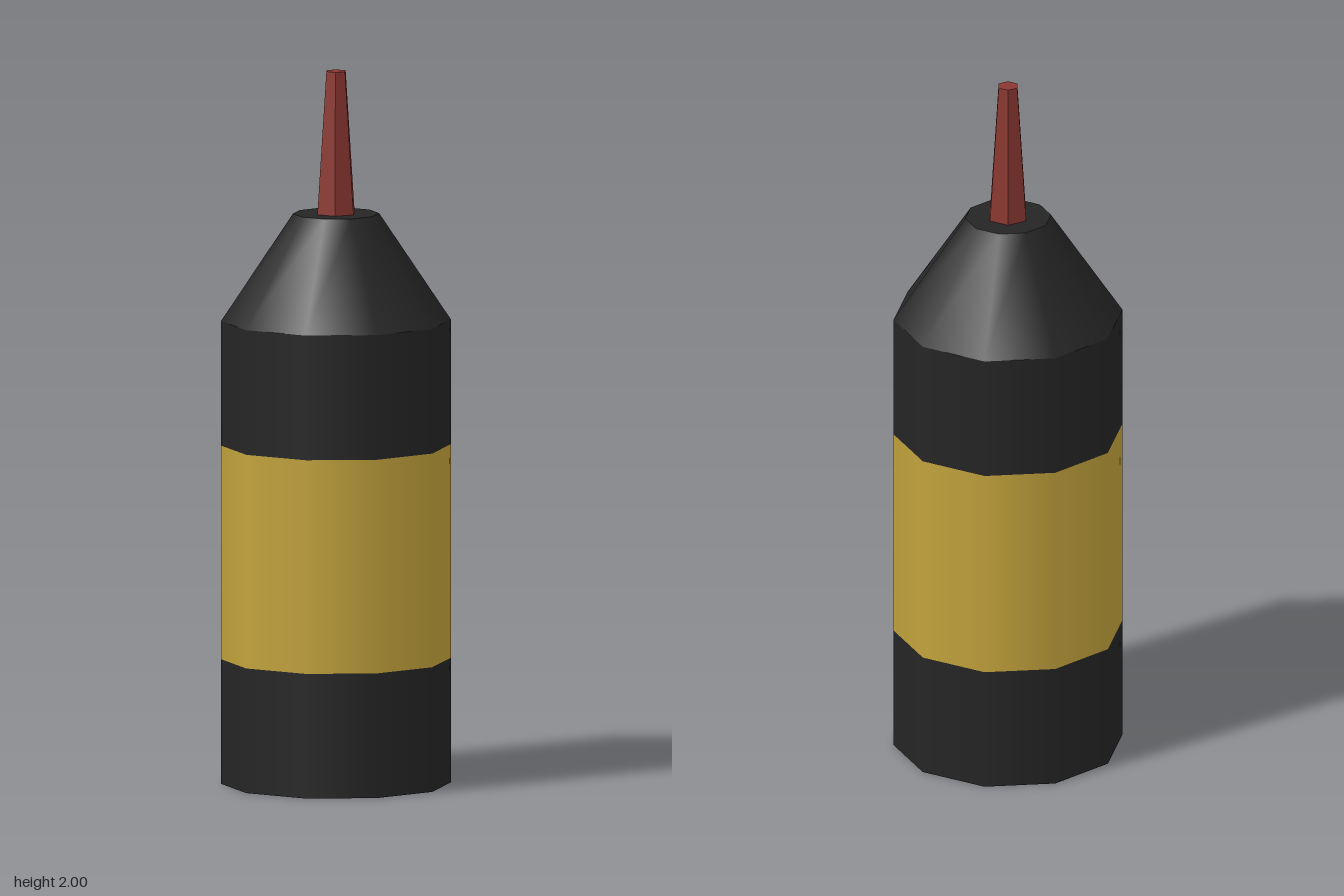
import * as THREE from 'three';

export function createModel() {
  const model = new THREE.Group();
  model.name = 'bottle';

  const material = (name, color, extra = {}) => {
    const m = new THREE.MeshStandardMaterial({ color, ...extra });
    m.name = name;
    return m;
  };
  const black = material('black plastic', 0x252525);
  const gold = material('gold label', 0xc2a23c);
  const red = material('red nozzle', 0x8a3730, { flatShading: true });

  const add = (name, geometry, mat, y) => {
    const mesh = new THREE.Mesh(geometry, mat);
    mesh.name = name;
    mesh.position.y = y;
    model.add(mesh);
  };
  // Open tapered section with a corner on the x axis
  const section = (name, sides, r0, r1, y0, y1, mat, open = true) =>
    add(name, new THREE.CylinderGeometry(r1, r0, y1 - y0, sides, 1, open, Math.PI / 2), mat, (y0 + y1) / 2);
  // Flat disc facing up or down
  const cap = (name, r, y, direction) =>
    add(name, new THREE.CircleGeometry(r, 10).rotateX(-direction * Math.PI / 2), black, y);

  // Ten-sided bottle with a flush label band
  section('lowerBody', 10, 0.32, 0.32, 0, 0.35, black);
  section('label', 10, 0.32, 0.32, 0.35, 0.95, gold);
  section('upperBody', 10, 0.32, 0.32, 0.95, 1.3, black);
  section('shoulder', 10, 0.32, 0.12, 1.3, 1.6, black);
  cap('base', 0.32, 0, -1);
  cap('shoulderTop', 0.12, 1.6, 1);

  // Six-sided tapered spout
  section('nozzle', 6, 0.058, 0.03, 1.6, 2, red, false);

  return model;
}
